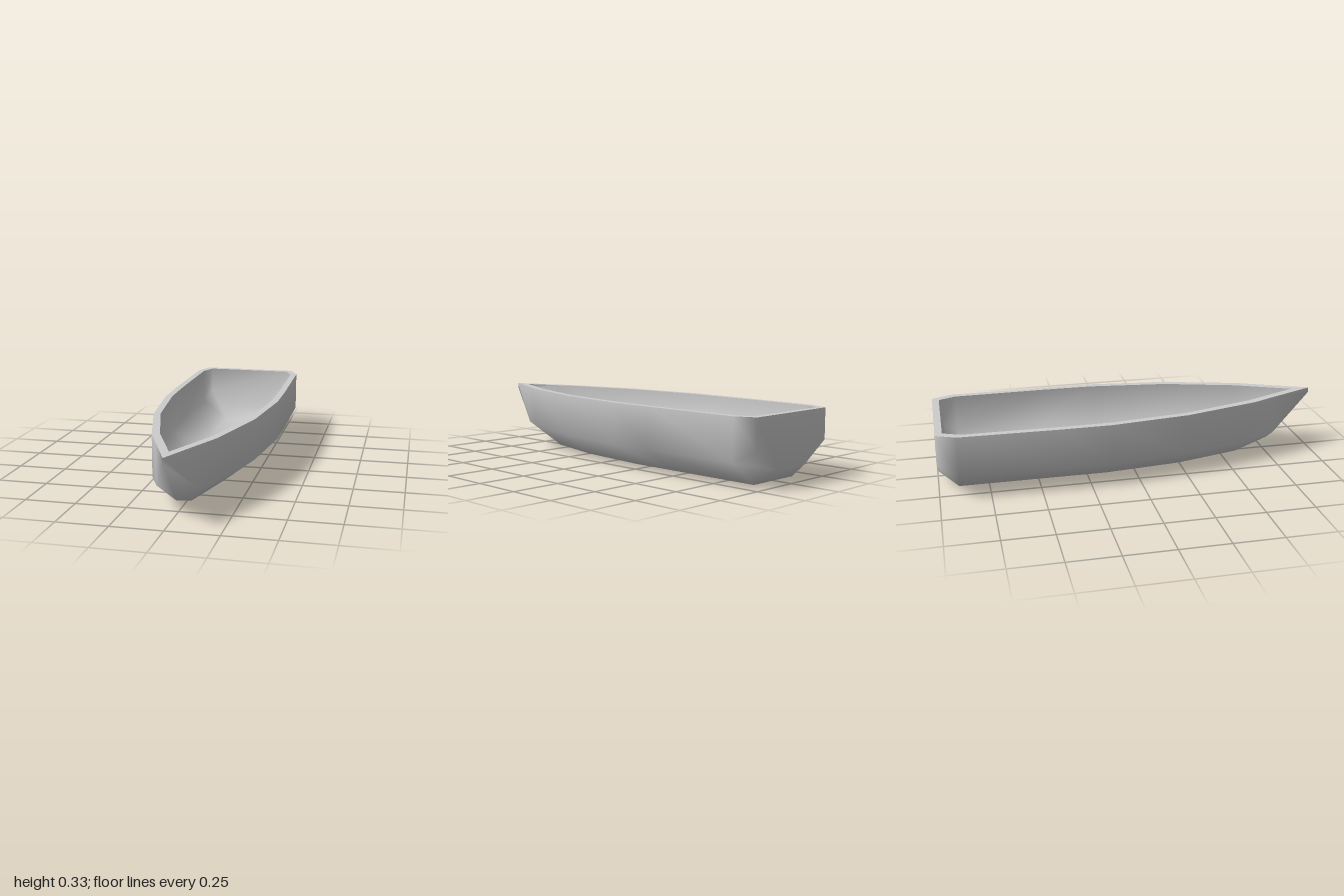
import * as THREE from 'three';
import { mergeVertices } from 'three/addons/utils/BufferGeometryUtils.js';

const TOP = 0.327;
const material = new THREE.MeshStandardMaterial({ color: 0xcccccc, side: THREE.DoubleSide });

// Stations from stern to bow: [z, half width, chine y, bottom z, bottom half width, bottom y]
const OUTER = [
  [-1, 0.26, 0.175, -1, 0.1, 0.075],
  [-0.9, 0.303, 0.12, -0.9, 0.145, 0],
  [-0.4, 0.31, 0.12, -0.4, 0.145, 0],
  [-0.15, 0.308, 0.12, -0.15, 0.145, 0],
  [0.25, 0.26, 0.12, 0.25, 0.105, 0],
  [0.64, 0.155, 0.12, 0.59, 0.02, 0],
  [0.77, 0.098, 0.125, 0.77, 0.005, 0.06],
  [1, 0, 0.3, 1, 0, 0.3],
];
const INNER = [
  [-0.965, 0.235, 0.19, -0.94, 0.1, 0.1],
  [-0.88, 0.27, 0.14, -0.87, 0.125, 0.035],
  [-0.4, 0.276, 0.14, -0.4, 0.125, 0.035],
  [-0.15, 0.273, 0.14, -0.15, 0.125, 0.035],
  [0.25, 0.225, 0.14, 0.25, 0.085, 0.035],
  [0.62, 0.12, 0.14, 0.55, 0.01, 0.035],
  [0.72, 0.077, 0.15, 0.69, 0.003, 0.09],
  [0.9, 0, 0.3, 0.9, 0, 0.3],
];

function makeMesh(name, positions, index) {
  let geometry = new THREE.BufferGeometry();
  geometry.setAttribute('position', new THREE.Float32BufferAttribute(positions, 3));
  geometry.setIndex(index);
  geometry = mergeVertices(geometry, 1e-4);
  geometry.computeVertexNormals();
  const mesh = new THREE.Mesh(geometry, material);
  mesh.name = name;
  return mesh;
}

// Open shell lofted through the stations, closed by a transom at the stern
function makeShell(name, stations, inward) {
  const positions = [];
  const index = [];
  const cols = 6;
  const tri = (a, b, c) => index.push(...(inward ? [a, c, b] : [a, b, c]));
  for (const [z, w, chineY, bz, bw, by] of stations) {
    positions.push(w, TOP, z, w, chineY, z, bw, by, bz);
    positions.push(-bw, by, bz, -w, chineY, z, -w, TOP, z);
  }
  for (let i = 0; i < stations.length - 1; i++) {
    for (let j = 0; j < cols - 1; j++) {
      const a = i * cols + j;
      tri(a, a + cols, a + 1);
      tri(a + 1, a + cols, a + cols + 1);
    }
  }
  for (let j = 1; j < cols - 1; j++) tri(0, j, j + 1);
  return makeMesh(name, positions, index);
}

// Flat gunwale strip between the two shells, running all the way round
function makeGunwale() {
  const outline = (s) => [
    ...s.map(([z, w]) => [w, TOP, z]),
    ...s.slice(0, -1).reverse().map(([z, w]) => [-w, TOP, z]),
  ];
  const outer = outline(OUTER);
  const inner = outline(INNER);
  const n = outer.length;
  const index = [];
  for (let i = 0; i < n; i++) {
    const k = (i + 1) % n;
    index.push(i, n + i, k, k, n + i, n + k);
  }
  return makeMesh('gunwale', [...outer, ...inner].flat(), index);
}

export function createModel() {
  const boat = new THREE.Group();
  boat.name = 'boat';
  boat.add(makeShell('outerHull', OUTER, false));
  boat.add(makeShell('innerHull', INNER, true));
  boat.add(makeGunwale());
  return boat;
}
